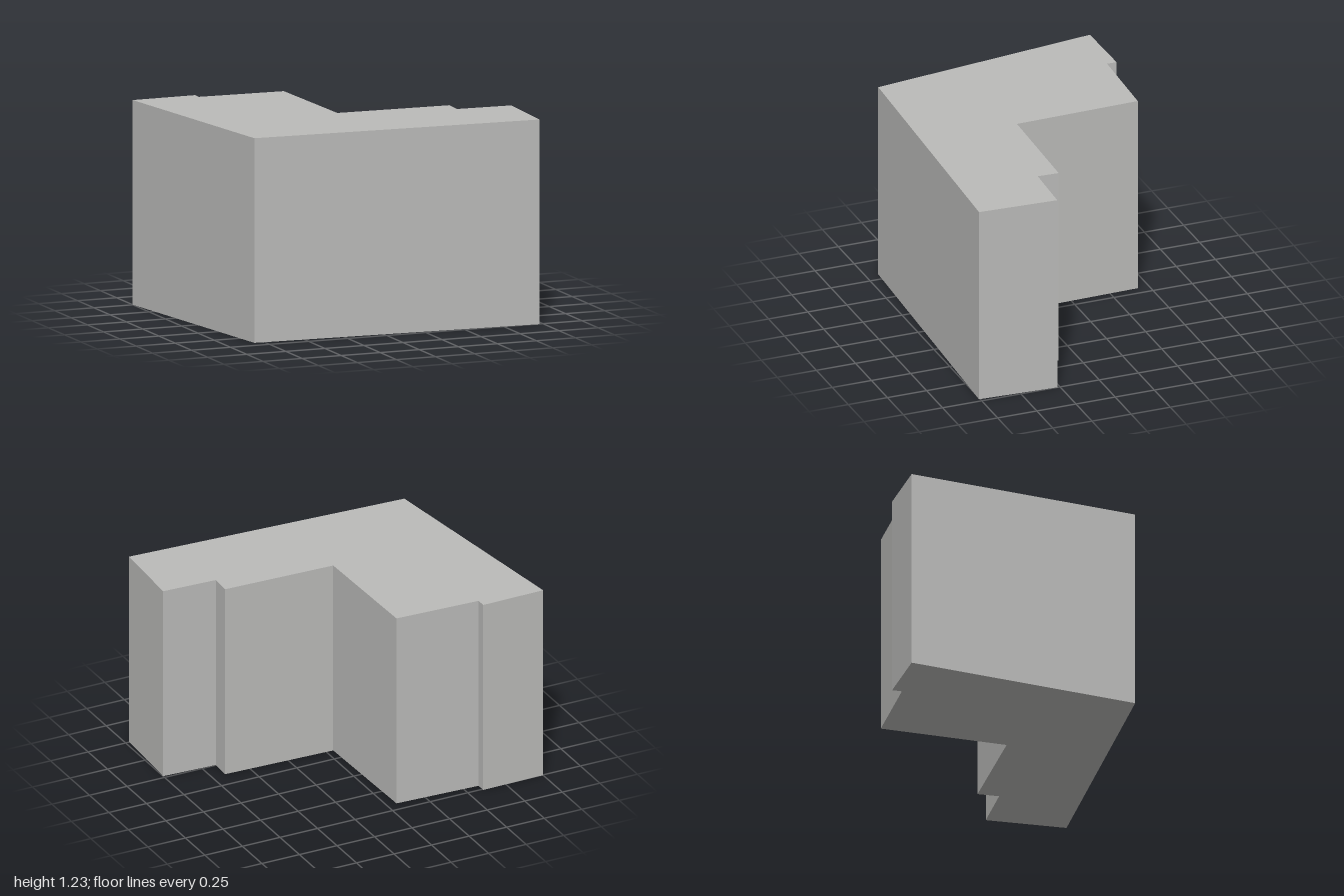
import * as THREE from 'three';

const HEIGHT = 1.23;

// Floor plan of the L-shaped block as [x, z]
const PLAN = [
  [-0.815, 0.672], [0.975, 0.757], [1, 0.268], [0.657, 0.253], [0.663, 0.122],
  [-0.045, 0.1], [-0.063, -0.678], [-0.598, -0.7], [-0.598, -0.76], [-1, -0.754],
];

export function createModel() {
  const wallGrey = new THREE.MeshStandardMaterial({ color: 0xbbbbb9 });
  wallGrey.name = 'wallGrey';

  // Plan drawn with y = -z, extruded and then stood upright
  const plan = new THREE.Shape(PLAN.map(([x, z]) => new THREE.Vector2(x, -z)));
  const geometry = new THREE.ExtrudeGeometry(plan, { depth: HEIGHT, bevelEnabled: false });
  geometry.rotateX(-Math.PI / 2);

  const building = new THREE.Mesh(geometry, wallGrey);
  building.name = 'buildingBlock';

  const model = new THREE.Group();
  model.name = 'building';
  model.add(building);
  return model;
}
